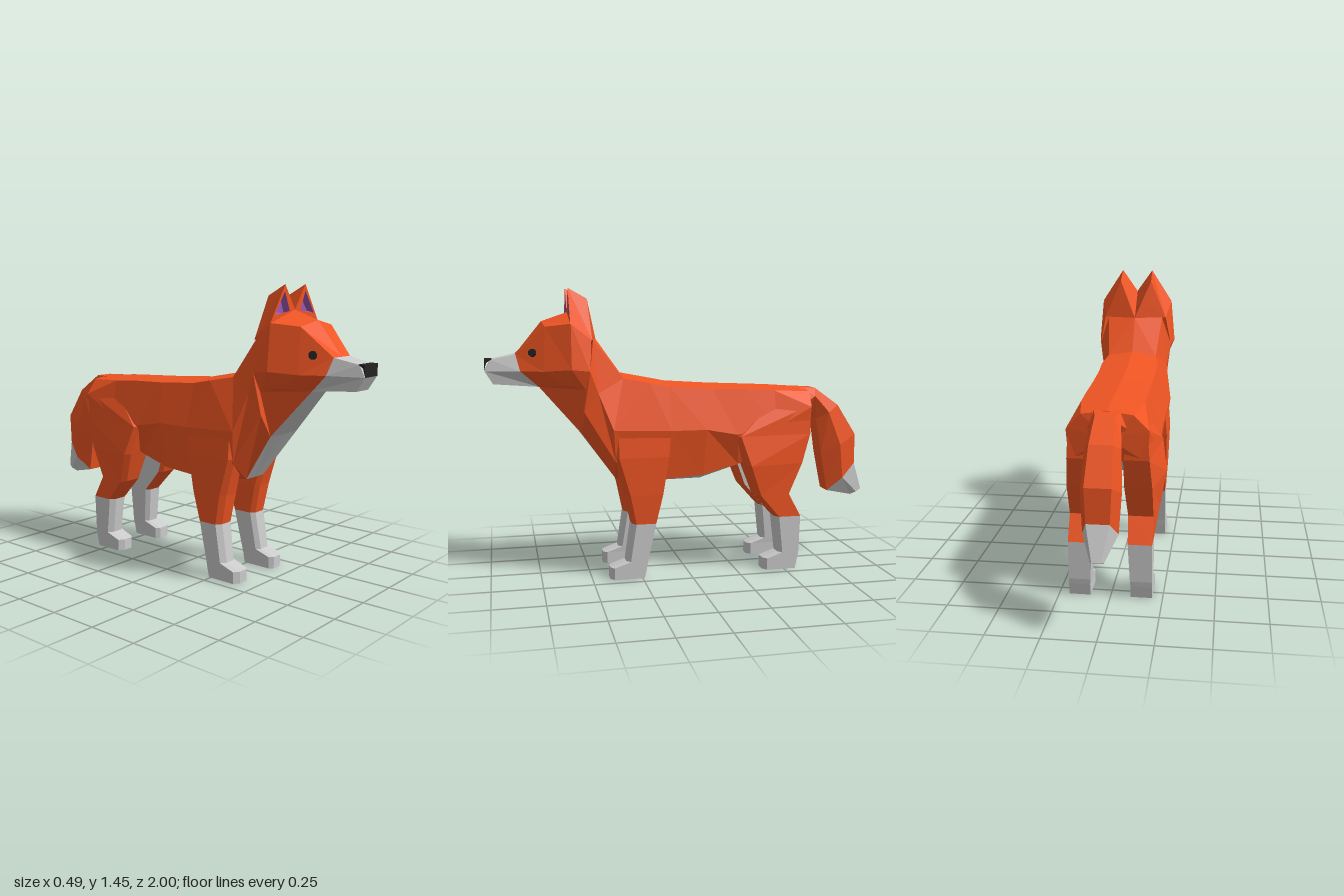
import * as THREE from 'three';

const mat = (color) => new THREE.MeshStandardMaterial({ color, flatShading: true, side: THREE.DoubleSide });
const ORANGE = mat(0xf05523), GREY = mat(0xcccccc), BLACK = mat(0x222222), PURPLE = mat(0x9b59b6);

// Joins rows of points into faceted quads and mirrors them to the other side
function skin(name, material, rows) {
  const pos = [];
  const tri = (a, b, c) => {
    const t = new THREE.Triangle(...[a, b, c].map((p) => new THREE.Vector3(...p)));
    if (t.getArea() < 1e-7) return;
    pos.push(...a, ...b, ...c);
    for (const p of [a, c, b]) pos.push(-p[0], p[1], p[2]);
  };
  for (let i = 0; i + 1 < rows.length; i++) {
    for (let j = 0; j + 1 < rows[i].length; j++) {
      const a = rows[i][j], b = rows[i][j + 1], c = rows[i + 1][j + 1], d = rows[i + 1][j];
      tri(a, b, c);
      tri(a, c, d);
    }
  }
  const g = new THREE.BufferGeometry();
  g.setAttribute('position', new THREE.Float32BufferAttribute(pos, 3));
  g.computeVertexNormals();
  const mesh = new THREE.Mesh(g, material);
  mesh.name = name;
  return mesh;
}

const cols = (rows, a, b) => rows.map((r) => r.slice(a, b + 1));
const collapse = (row, p) => row.map(() => p);
const flatten = (row) => row.map(([, y, z]) => [0, y, z]);

// Horizontal leg section with bevelled front corners, closed on itself
function legRing(y, xi, xo, zb, zf, xob = xo) {
  const c = 0.02;
  return [[xi, y, zb], [xob, y, zb], [xo, y, zf - c], [xo - c - 0.01, y, zf],
    [xi + c, y, zf], [xi, y, zf - c], [xi, y, zb]];
}

// Half tail section from its outer edge to its inner edge
function tailRing(zo, yo, zi, yi, w) {
  return [[0, yo, zo], [w * 0.65, yo, zo], [w, (yo + yi) / 2, (zo + zi) / 2], [w * 0.6, yi, zi], [0, yi, zi]];
}

function torso() {
  const g = new THREE.Group();
  g.name = 'torso';
  // Half sections from neck to rump: spine, back edge, flank, lower flank, belly edge, belly
  const rows = [
    [[0, 1.2, 0.45], [0.15, 1.2, 0.48], [0.2, 1.05, 0.5], [0.17, 0.96, 0.52], [0.07, 0.97, 0.74], [0, 0.97, 0.74]],
    [[0, 1.03, 0.33], [0.13, 1.01, 0.33], [0.18, 0.94, 0.46], [0.175, 0.85, 0.53], [0.11, 0.74, 0.54], [0, 0.74, 0.545]],
    [[0, 1.005, 0.2], [0.15, 0.985, 0.2], [0.21, 0.76, 0.39], [0.19, 0.6, 0.38], [0.07, 0.5, 0.37], [0, 0.5, 0.37]],
    [[0, 0.985, 0.1], [0.15, 0.965, 0.1], [0.21, 0.75, 0.1], [0.17, 0.5, 0.13], [0.08, 0.48, 0.13], [0, 0.48, 0.13]],
    [[0, 0.97, -0.12], [0.15, 0.95, -0.12], [0.21, 0.75, -0.08], [0.17, 0.515, -0.07], [0.09, 0.485, -0.07], [0, 0.485, -0.07]],
    [[0, 0.962, -0.3], [0.15, 0.945, -0.3], [0.21, 0.72, -0.24], [0.15, 0.56, -0.26], [0.08, 0.54, -0.26], [0, 0.54, -0.26]],
    [[0, 0.955, -0.45], [0.15, 0.935, -0.45], [0.2, 0.75, -0.45], [0.14, 0.63, -0.45], [0.06, 0.62, -0.45], [0, 0.62, -0.45]],
    [[0, 0.94, -0.65], [0.12, 0.925, -0.65], [0.19, 0.85, -0.64], [0.18, 0.7, -0.63], [0.06, 0.7, -0.62], [0, 0.7, -0.62]],
  ];
  const front = rows.slice(0, 4), rear = rows.slice(3), last = rows[7];
  g.add(
    skin('shoulders', ORANGE, cols(front, 0, 4)),
    skin('chestBib', GREY, cols(front, 4, 5)),
    skin('back', ORANGE, cols(rear, 0, 3)),
    skin('belly', GREY, cols(rear, 3, 5)),
    skin('rump', ORANGE, [last, collapse(last, [0, 0.82, -0.66])]),
  );
  return g;
}

function head() {
  const g = new THREE.Group();
  g.name = 'head';
  const jaw = [0.07, 0.97, 0.74];
  // Half sections of the skull: crown, brow edge, cheek, jaw edge, throat
  g.add(skin('skull', ORANGE, [
    [[0, 1.13, 0.85], [0.07, 1.13, 0.85], [0.1, 1.05, 0.83], jaw, jaw],
    [[0, 1.29, 0.72], [0.13, 1.265, 0.71], [0.155, 1.05, 0.72], [0.11, 0.975, 0.69], jaw],
    [[0, 1.335, 0.59], [0.195, 1.28, 0.59], [0.215, 1.06, 0.59], [0.165, 0.98, 0.6], jaw],
    [[0, 1.2, 0.45], [0.17, 1.2, 0.49], [0.2, 1.05, 0.5], [0.17, 0.96, 0.52], jaw],
  ]));
  const tip = [[0, 1.105, 0.97], [0.052, 1.105, 0.97], [0.055, 1.05, 1], [0.05, 0.985, 0.96], [0, 0.985, 0.96]];
  g.add(skin('snout', GREY, [flatten(tip), tip,
    [[0, 1.13, 0.85], [0.07, 1.13, 0.85], [0.1, 1.05, 0.83], jaw, [0, 0.97, 0.74]]]));
  // Wedge nose
  const side = [0.056, 1.09, 0.99];
  g.add(skin('nose', BLACK, [[1.107, 0.965], [1.107, 1], [1.05, 1.002]].map(
    ([y, z]) => [side, [0.056, y, z], [0, y, z]])));
  // Ears: outer base, tip, inner base, closed on the outer base
  const loop = (a, b, c) => [a, b, c, a];
  const earBack = loop([0.17, 1.2, 0.485], [0.085, 1.4, 0.5], [0, 1.2, 0.45]);
  const earFront = loop([0.195, 1.28, 0.592], [0.083, 1.452, 0.592], [0, 1.335, 0.592]);
  const rim = loop([0.16, 1.315, 0.592], [0.085, 1.42, 0.592], [0.035, 1.312, 0.592]);
  const pocket = loop([0.14, 1.325, 0.565], [0.085, 1.395, 0.565], [0.055, 1.32, 0.565]);
  g.add(
    skin('ears', ORANGE, [collapse(earBack, [0.085, 1.27, 0.478]), earBack, earFront, rim]),
    skin('innerEars', PURPLE, [rim, pocket, collapse(pocket, [0.093, 1.345, 0.565])]),
  );
  // Eyes
  for (const s of [-1, 1]) {
    const eye = new THREE.Mesh(new THREE.CylinderGeometry(0.019, 0.021, 0.02, 8), BLACK);
    eye.name = s > 0 ? 'leftEye' : 'rightEye';
    eye.position.set(s * 0.119, 1.14, 0.77);
    eye.quaternion.setFromUnitVectors(new THREE.Vector3(0, 1, 0), new THREE.Vector3(s * 0.9, 0.15, 0.4).normalize());
    g.add(eye);
  }
  return g;
}

function legs() {
  const g = new THREE.Group();
  g.name = 'legs';
  // Shin and paw, shared by front and hind legs
  const lower = (name, top, dz) => {
    const sole = legRing(0, 0.097, 0.2, 0.24 + dz, 0.412 + dz);
    return skin(name, GREY, [top,
      legRing(0.088, 0.095, 0.2, 0.222 + dz, 0.33 + dz),
      legRing(0.06, 0.097, 0.2, 0.227 + dz, 0.412 + dz),
      sole, collapse(sole, [0.148, 0, 0.32 + dz])]);
  };
  const frontKnee = legRing(0.28, 0.085, 0.2, 0.18, 0.3);
  g.add(skin('frontUpperLegs', ORANGE, [
    legRing(0.77, 0.12, 0.2, 0.1, 0.385),
    legRing(0.62, 0.1, 0.212, 0.115, 0.385),
    legRing(0.43, 0.08, 0.208, 0.145, 0.33),
    frontKnee]), lower('frontLowerLegs', frontKnee, 0));
  const hock = legRing(0.28, 0.085, 0.2, -0.585, -0.45);
  const thigh = [
    legRing(0.86, 0.1, 0.165, -0.64, -0.4, 0.18),
    legRing(0.71, 0.07, 0.222, -0.635, -0.235, 0.19),
    legRing(0.56, 0.07, 0.245, -0.59, -0.285, 0.2),
    legRing(0.4, 0.08, 0.218, -0.52, -0.345, 0.2),
    hock];
  const lowerHind = lower('hindLowerLegs', hock, -0.8);
  g.add(skin('thighs', ORANGE, cols(thigh, 0, 5)), skin('innerThighs', GREY, cols(thigh, 5, 6)), lowerHind);
  return g;
}

function tail() {
  const g = new THREE.Group();
  g.name = 'tail';
  const rows = [
    tailRing(-0.62, 0.938, -0.63, 0.76, 0.1),
    tailRing(-0.71, 0.935, -0.7, 0.85, 0.07),
    tailRing(-0.84, 0.84, -0.72, 0.77, 0.082),
    tailRing(-0.94, 0.68, -0.75, 0.58, 0.092),
    tailRing(-0.943, 0.52, -0.79, 0.375, 0.08),
  ];
  const end = tailRing(-1, 0.37, -0.94, 0.34, 0.03);
  g.add(skin('tailBrush', ORANGE, rows), skin('tailTip', GREY, [rows[4], end, flatten(end)]));
  return g;
}

export function createModel() {
  const model = new THREE.Group();
  model.name = 'fox';
  model.add(torso(), head(), legs(), tail());
  return model;
}
